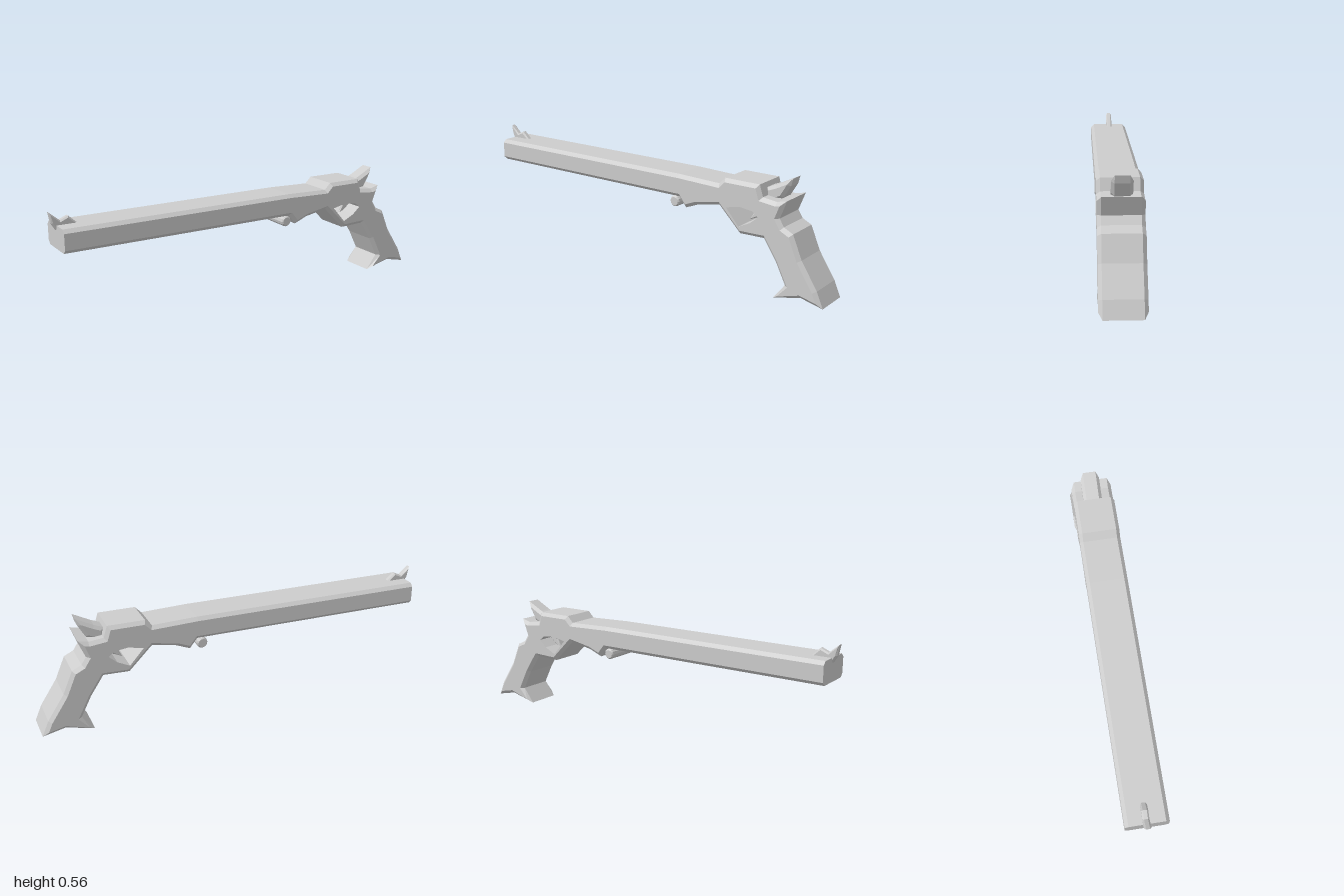
import * as THREE from 'three';

const metal = new THREE.MeshStandardMaterial({ color: 0xcccccc });
metal.name = 'plainGrey';

// Moves every edge of a counter-clockwise outline inward by d.
function inset(pts, d) {
  return pts.map((p, i) => {
    const a = pts[(i + pts.length - 1) % pts.length];
    const b = pts[(i + 1) % pts.length];
    const u = p.clone().sub(a).normalize();
    const v = b.clone().sub(p).normalize();
    const n1 = new THREE.Vector2(-u.y, u.x);
    const n2 = new THREE.Vector2(-v.y, v.x);
    const k = d / Math.max(1 + n1.dot(n2), 0.35);
    return p.clone().addScaledVector(n1.add(n2), k);
  });
}

// Chamfered plate in the xy plane: full outline in the middle, inset on both faces.
function plate(name, outline, half, bevel, { hole = [], minX = -2, z = 0 } = {}) {
  const toVec = ([x, y]) => new THREE.Vector2(x, y);
  let outer = outline.map(toVec);
  if (THREE.ShapeUtils.area(outer) < 0) outer.reverse();
  const inner = inset(outer, bevel);
  for (const p of [...outer, ...inner]) p.x = Math.max(p.x, minX);
  const opening = hole.map(toVec);
  if (opening.length && THREE.ShapeUtils.area(opening) > 0) opening.reverse();

  const pos = [];
  const put = (p, depth) => pos.push(p.x, p.y, depth);
  const strip = (front, zf, back, zb) => front.forEach((p, i) => {
    const j = (i + 1) % front.length;
    put(p, zf); put(back[i], zb); put(back[j], zb);
    put(p, zf); put(back[j], zb); put(front[j], zf);
  });
  strip(inner, half, outer, half - bevel);
  strip(outer, half - bevel, outer, bevel - half);
  strip(outer, bevel - half, inner, -half);
  if (opening.length) strip(opening, half, opening, -half);

  const all = [...inner, ...opening];
  const faces = THREE.ShapeUtils.triangulateShape(inner, opening.length ? [opening] : []);
  for (const [a, b, c] of faces) {
    put(all[a], half); put(all[b], half); put(all[c], half);
    put(all[c], -half); put(all[b], -half); put(all[a], -half);
  }
  const geometry = new THREE.BufferGeometry();
  geometry.setAttribute('position', new THREE.Float32BufferAttribute(pos, 3));
  geometry.computeVertexNormals();
  const mesh = new THREE.Mesh(geometry, metal);
  mesh.name = name;
  mesh.position.z = z;
  return mesh;
}

export function createModel() {
  const model = new THREE.Group();
  model.name = 'longBarrelPistol';

  // Barrel, receiver, guard and grip; the muzzle is cut square at minX
  const frame = [
    [-0.988, 0.494], [0.22, 0.494], [0.446, 0.487], [0.478, 0.519], [0.66, 0.519],
    [0.678, 0.463], [0.75, 0.455], [0.80, 0.467], [0.767, 0.381], [0.79, 0.345],
    [0.837, 0.322], [0.885, 0.21], [0.967, 0.085], [1.0, 0.009],
    [0.89, 0.034], [0.75, 0.0], [0.808, 0.075], [0.757, 0.176], [0.692, 0.274],
    [0.565, 0.27], [0.45, 0.385], [0.33, 0.363], [0.26, 0.335], [0.222, 0.383],
    [-0.988, 0.383],
  ];
  const guardOpening = [
    [0.495, 0.385], [0.565, 0.306], [0.625, 0.335], [0.665, 0.37], [0.635, 0.393], [0.57, 0.401],
  ];
  model.add(plate('frame', frame, 0.102, 0.017, { hole: guardOpening, minX: -0.97 }));

  // Trigger inside the guard
  model.add(plate('trigger', [
    [0.595, 0.41], [0.605, 0.37], [0.58, 0.325], [0.625, 0.345], [0.665, 0.38], [0.65, 0.41],
  ], 0.03, 0.006));

  // Hammer with its spur
  model.add(plate('hammer', [
    [0.665, 0.45], [0.665, 0.495], [0.71, 0.513], [0.794, 0.556],
    [0.785, 0.52], [0.75, 0.46], [0.71, 0.44],
  ], 0.047, 0.015, { z: -0.004 }));

  // Front sight hooked over the muzzle
  model.add(plate('frontSight', [
    [-1.0, 0.556], [-0.95, 0.514], [-0.912, 0.53], [-0.873, 0.494],
    [-0.89, 0.475], [-0.965, 0.462], [-0.99, 0.503],
  ], 0.016, 0.007, { z: -0.004 }));

  // Cross pin below the barrel
  const pinShape = [[0, -0.1], [0.021, -0.1], [0.027, -0.093], [0.027, 0.093], [0.021, 0.1], [0, 0.1]];
  const pinGeometry = new THREE.LatheGeometry(pinShape.map(([r, y]) => new THREE.Vector2(r, y)), 12)
    .toNonIndexed();
  pinGeometry.computeVertexNormals();
  const pin = new THREE.Mesh(pinGeometry, metal);
  pin.name = 'crossPin';
  pin.rotation.x = Math.PI / 2;
  pin.position.set(0.2, 0.358, 0);
  model.add(pin);

  return model;
}
